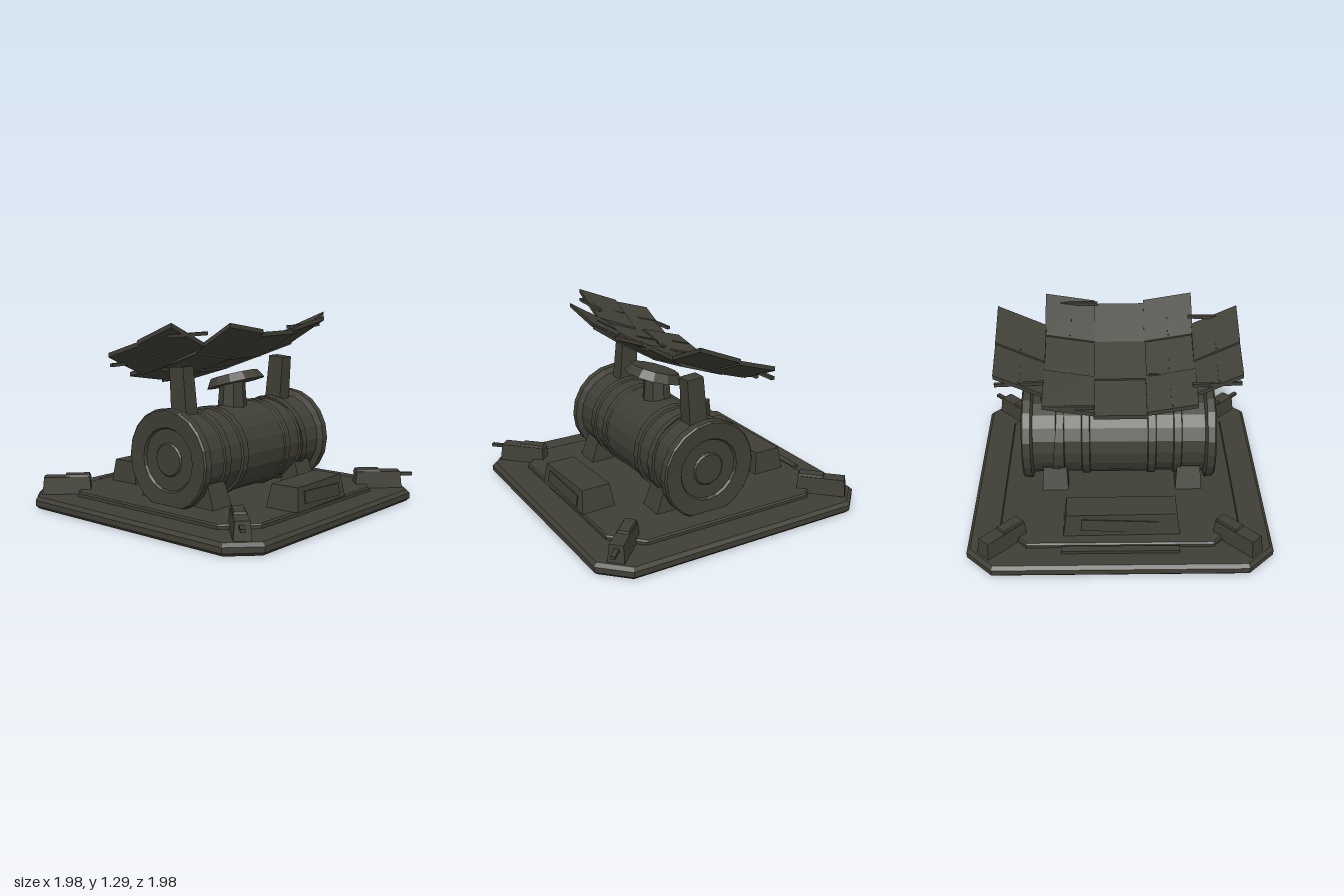
import * as THREE from 'three';

const metal = new THREE.MeshStandardMaterial({ color: 0x403f36, flatShading: true });
metal.name = 'dark olive metal';

export function createModel() {
  const root = new THREE.Group();
  root.name = 'fieldGenerator';

  const add = (name, geo, x = 0, y = 0, z = 0, rx = 0, ry = 0, rz = 0) => {
    const m = new THREE.Mesh(geo, metal);
    m.name = name;
    m.position.set(x, y, z);
    m.rotation.set(rx, ry, rz);
    root.add(m);
    return m;
  };

  // Box whose top is drawn in by tx and tz on each side
  const taperBox = (w, h, d, tx = 0, tz = 0) => {
    const g = new THREE.BoxGeometry(w, h, d);
    const p = g.attributes.position;
    for (let i = 0; i < p.count; i++) {
      if (p.getY(i) > 0) {
        p.setX(i, p.getX(i) - Math.sign(p.getX(i)) * tx);
        p.setZ(i, p.getZ(i) - Math.sign(p.getZ(i)) * tz);
      }
    }
    g.computeVertexNormals();
    return g;
  };

  // Flat square plate with cut corners and bevelled edges
  const plate = (hx, hz, cut, height, bevel) => {
    const x = hx - bevel, z = hz - bevel;
    const s = new THREE.Shape([
      [x - cut, -z], [x, -z + cut], [x, z - cut], [x - cut, z],
      [-x + cut, z], [-x, z - cut], [-x, -z + cut], [-x + cut, -z],
    ].map(([a, b]) => new THREE.Vector2(a, b)));
    const g = new THREE.ExtrudeGeometry(s, {
      depth: height - 2 * bevel, bevelEnabled: true, bevelSegments: 1,
      bevelSize: bevel, bevelThickness: bevel,
    });
    g.translate(0, 0, bevel);
    g.rotateX(-Math.PI / 2);
    return g;
  };

  // Base
  add('base', plate(0.99, 0.99, 0.16, 0.08, 0.022), 0, 0.26, 0);
  add('deck', plate(0.79, 0.8, 0.18, 0.04, 0.01), 0, 0.33, 0);
  add('rearStep', new THREE.BoxGeometry(0.76, 0.03, 0.05), 0, 0.345, -0.835);

  // Corner clamps pointing at the centre, with small pins at the front
  for (const sx of [-1, 1]) {
    for (const sz of [-1, 1]) {
      const turn = -sx * sz * Math.PI / 4;
      add('cornerClamp', taperBox(0.33, 0.12, 0.11, 0.012, 0.01), sx * 0.76, 0.395, sz * 0.76, 0, turn, 0);
      add('clampCap', taperBox(0.18, 0.03, 0.09, 0.01, 0.01), sx * 0.71, 0.455, sz * 0.71, 0, turn, 0);
    }
    add('cornerPin', new THREE.BoxGeometry(0.09, 0.02, 0.03), sx * 0.91, 0.425, 0.9, 0, -sx * Math.PI / 4, 0);
  }

  // Equipment cases before and behind the drum
  add('frontCase', taperBox(0.56, 0.15, 0.24, 0.03, 0.02), 0, 0.445, 0.695, 0, 0.04, 0);
  add('frontCasePanel', new THREE.BoxGeometry(0.4, 0.08, 0.008), 0.01, 0.44, 0.81, -0.13, 0.04, -0.05);
  add('rearCase', taperBox(0.76, 0.15, 0.23, 0.02, 0.02), -0.01, 0.445, -0.6, 0, 0.015, 0);
  add('rearCasePanel', new THREE.BoxGeometry(0.5, 0.08, 0.008), 0, 0.44, -0.71, 0.13, 0.02, 0.05);

  // Drum lying along x, with rims, bands and stepped ends
  const half = [
    [0, 0.645], [0.1, 0.645], [0.11, 0.635], [0.2, 0.635], [0.21, 0.65], [0.32, 0.66],
    [0.33, 0.65], [0.33, 0.6], [0.29, 0.585], [0.285, 0.43], [0.298, 0.425],
    [0.298, 0.375], [0.285, 0.37], [0.285, 0.255], [0.3, 0.25], [0.3, 0.2], [0.29, 0.195], [0.29, 0.06],
  ];
  const profile = [
    ...half.map(([r, x]) => new THREE.Vector2(r, -x)),
    ...half.slice().reverse().map(([r, x]) => new THREE.Vector2(r, x)),
  ];
  add('drum', new THREE.LatheGeometry(profile, 20), 0, 0.66, 0.08, 0, 0, -Math.PI / 2);
  add('drumStrap', new THREE.CylinderGeometry(0.302, 0.302, 0.05, 20, 1), 0.42, 0.66, 0.08, 0, 0, -Math.PI / 2 + 0.1);

  // Saddle feet and roof posts
  for (const s of [-1, 1]) {
    const fx = s < 0 ? -0.48 : 0.44;
    for (const sz of [-1, 1]) {
      add('saddleFoot', taperBox(0.18, 0.16, 0.17, 0.01, 0.04), fx, 0.44, 0.08 + sz * 0.22, -sz * 0.1, 0, 0);
    }
    add('roofPost', taperBox(0.11, 0.32, 0.13, 0.006, 0.006), s * 0.48, 1.08, 0.08 + s * 0.02, s * 0.08, 0, 0);
  }

  // Central vent with a tilted cap
  add('ventStem', new THREE.CylinderGeometry(0.085, 0.1, 0.2, 8), -0.01, 1.02, 0.08);
  add('ventCap', new THREE.CylinderGeometry(0.165, 0.2, 0.06, 12), -0.01, 1.12, 0.1, -0.29, 0, 0);

  // Sagging panel roof: height follows a slope in z and a lift in x
  const lerpTable = (t, v) => {
    let i = 0;
    while (i < t.length - 2 && v > t[i + 1][0]) i++;
    const [a, b] = [t[i], t[i + 1]];
    return a[1] + (b[1] - a[1]) * (v - a[0]) / (b[0] - a[0]);
  };
  const slope = [[-0.41, 1.08], [-0.11, 1.17], [0.19, 1.275], [0.46, 1.44]];
  const lift = [[0, 0], [0.17, 0.005], [0.5, 0.06], [0.8, 0.2]];
  const height = (x, z) => lerpTable(slope, z) + lerpTable(lift, Math.abs(x));
  const roofPiece = (name, x0, x1, z0, z1, thick, raise) => {
    const g = new THREE.BoxGeometry(1, thick, 1);
    const p = g.attributes.position;
    for (let i = 0; i < p.count; i++) {
      const x = p.getX(i) < 0 ? x0 : x1, z = p.getZ(i) < 0 ? z0 : z1;
      p.setXYZ(i, x, height(x, z) + p.getY(i) + raise, z);
    }
    g.computeVertexNormals();
    add(name, g);
  };
  const xs = [-0.79, -0.5, -0.18, 0.16, 0.49, 0.8];
  for (let c = 0; c < 5; c++) {
    const outer = c === 0 || c === 4;
    const zs = outer ? [-0.28, -0.02, 0.26] : [-0.4, -0.11, 0.19, 0.46];
    for (let r = 0; r < zs.length - 1; r++) {
      const raise = ((c + r) % 2) * 0.012;
      const shift = (c % 2) * 0.012 - 0.006;
      const [x0, x1, z0, z1] = [xs[c], xs[c + 1], zs[r] + shift, zs[r + 1] + shift];
      roofPiece('roofPanel', x0 - 0.004, x1 + 0.004, z0 - 0.005, z1 + 0.005, 0.028, raise);
      // Raised seam across half of each panel
      const mid = (x0 + x1) / 2;
      roofPiece('roofSeam', mid - 0.006, mid + 0.006, z0 + 0.01, z0 + 0.15, 0.008, raise + 0.017);
    }
  }

  // Loose roof rails along the edges
  const rail = (x0, x1, y, z, tilt) =>
    add('roofRail', new THREE.BoxGeometry(x1 - x0, 0.022, 0.022), (x0 + x1) / 2, y, z, 0, -tilt, 0);
  rail(0.14, 0.49, 1.475, 0.43, 0);
  rail(-0.8, -0.47, 1.46, 0.25, 0.03);
  rail(0.48, 0.8, 1.255, -0.27, -0.07);
  rail(-0.79, -0.47, 1.25, -0.28, -0.07);
  rail(-0.5, -0.2, 1.21, -0.1, 0.03);
  rail(0.16, 0.49, 1.15, -0.39, 0);

  return root;
}
